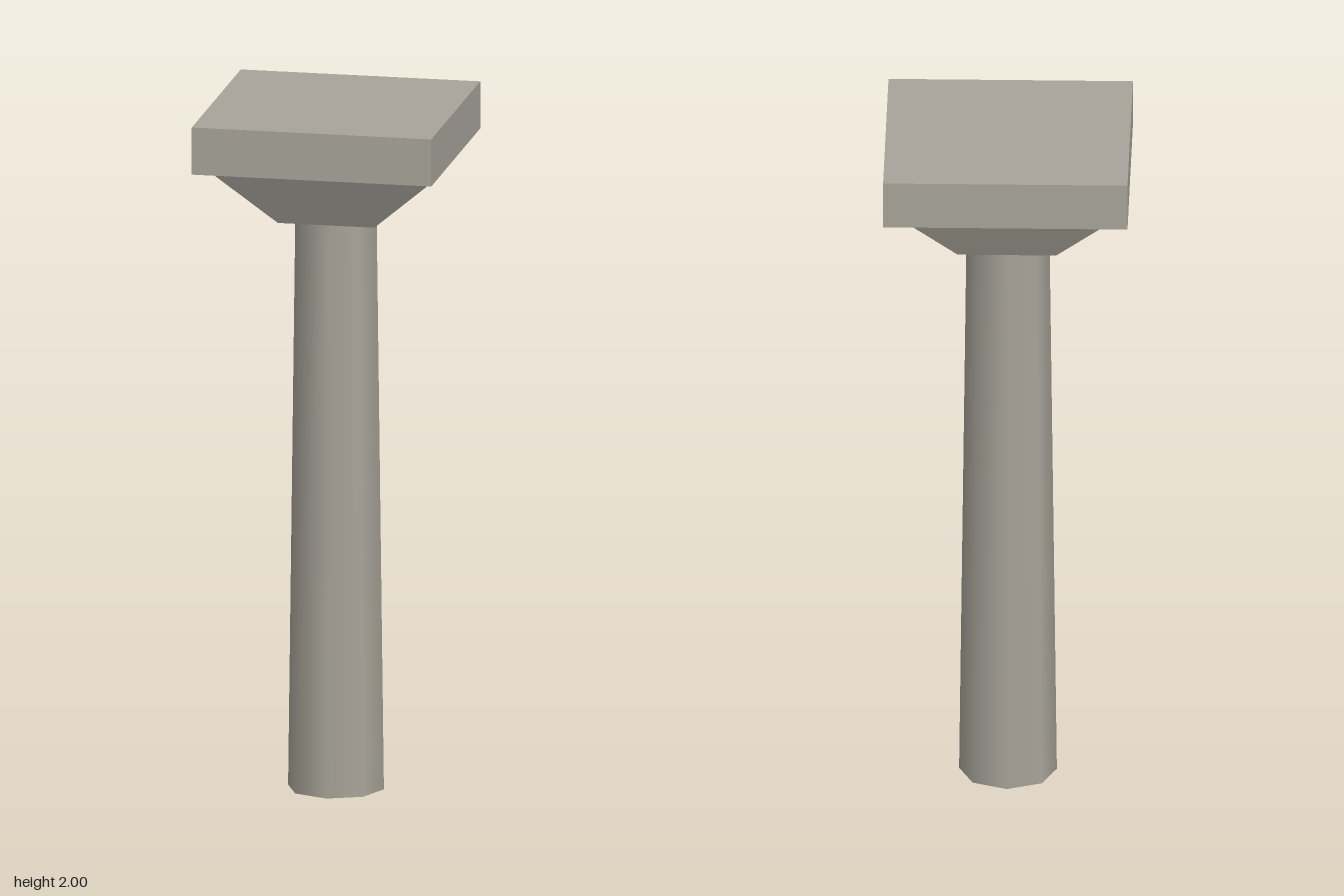
import * as THREE from 'three';

const stone = new THREE.MeshStandardMaterial({ color: 0xa8a49a });
stone.name = 'warm grey stone';

const CAPITAL_Y = 1.68; // top of the shaft
const SLAB_Y = 1.862; // underside of the slab
const TOP_Y = 2;

// Box whose bottom corners are pulled in to a smaller rectangle
function frustum(bottomX, bottomZ, topX, topZ, height) {
  const geometry = new THREE.BoxGeometry(topX, height, topZ);
  const p = geometry.attributes.position;
  for (let i = 0; i < p.count; i++) {
    if (p.getY(i) < 0) {
      p.setX(i, Math.sign(p.getX(i)) * bottomX / 2);
      p.setZ(i, Math.sign(p.getZ(i)) * bottomZ / 2);
    }
  }
  geometry.computeVertexNormals();
  return geometry;
}

export function createModel() {
  const model = new THREE.Group();
  model.name = 'column';

  const add = (name, geometry, bottom, top) => {
    const mesh = new THREE.Mesh(geometry, stone);
    mesh.name = name;
    mesh.position.y = (bottom + top) / 2;
    model.add(mesh);
  };

  // Tapered eight-sided shaft with smooth shading
  add('shaft', new THREE.CylinderGeometry(0.118, 0.139, CAPITAL_Y, 8), 0, CAPITAL_Y);

  // Capital flaring more to the sides than to front and back
  add('capital', frustum(0.28, 0.28, 0.695, 0.46, SLAB_Y - CAPITAL_Y), CAPITAL_Y, SLAB_Y);

  // Square slab on top
  add('slab', new THREE.BoxGeometry(0.695, TOP_Y - SLAB_Y, 0.695), SLAB_Y, TOP_Y);

  return model;
}
